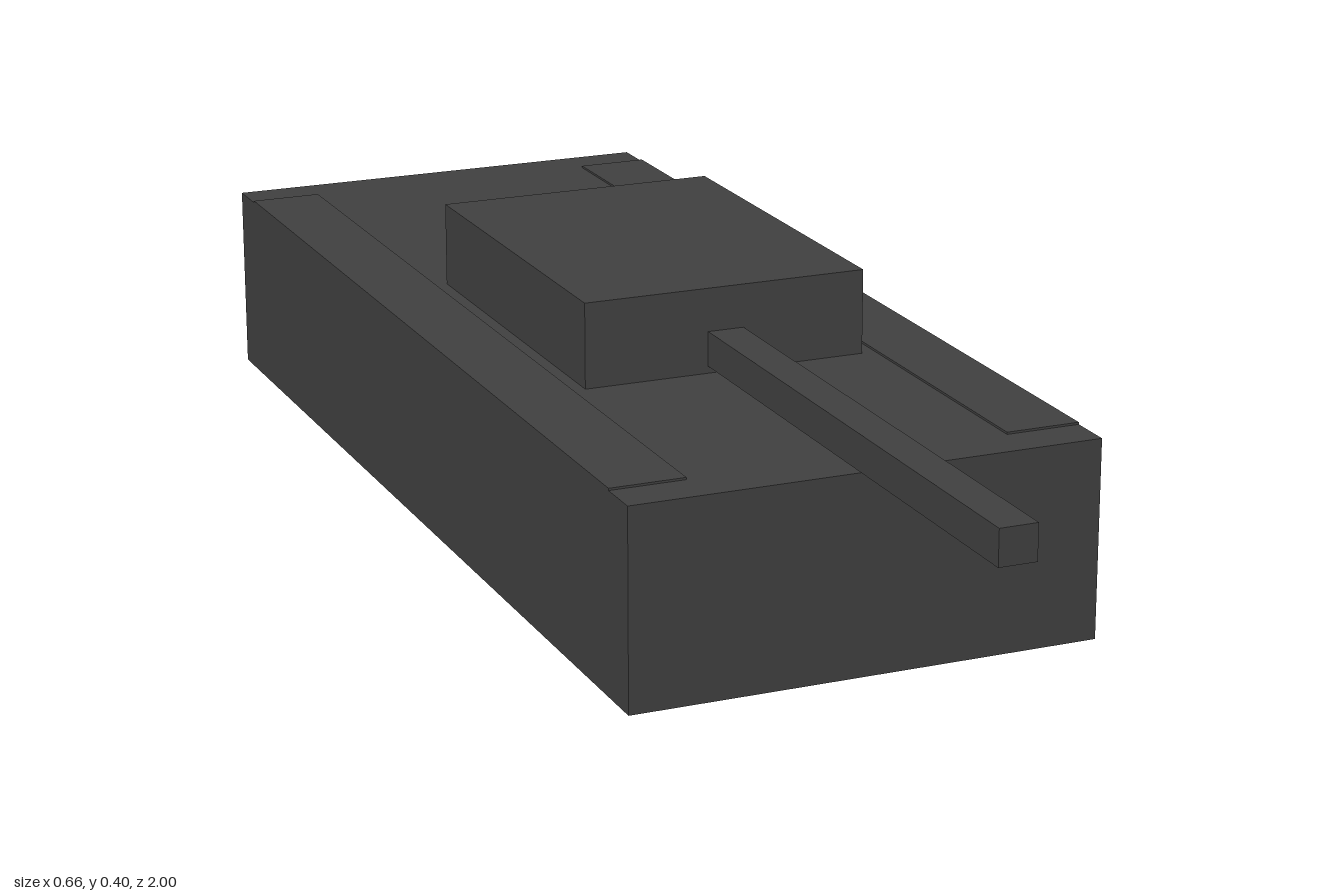
import * as THREE from 'three';

export function createModel() {
  const model = new THREE.Group();
  const material = new THREE.MeshStandardMaterial({ color: 0x404040, flatShading: true });

  // Box given by its limits along each axis
  function box(name, [x0, x1], [y0, y1], [z0, z1]) {
    const mesh = new THREE.Mesh(new THREE.BoxGeometry(x1 - x0, y1 - y0, z1 - z0), material);
    mesh.position.set((x0 + x1) / 2, (y0 + y1) / 2, (z0 + z1) / 2);
    mesh.name = name;
    model.add(mesh);
  }

  const hullTop = 0.277;
  box('hull', [-0.33, 0.33], [0, hullTop], [-1, 0.607]);

  // Thin raised track covers along both edges of the deck
  box('leftTrackCover', [0.225, 0.33], [hullTop - 0.001, 0.28], [-0.935, 0.545]);
  box('rightTrackCover', [-0.33, -0.225], [hullTop - 0.001, 0.28], [-0.935, 0.545]);

  // Turret and its square gun barrel
  box('turret', [-0.205, 0.205], [hullTop, 0.397], [-0.39, 0.155]);
  box('barrel', [-0.026, 0.026], [0.287, 0.336], [0.15, 1]);

  return model;
}
